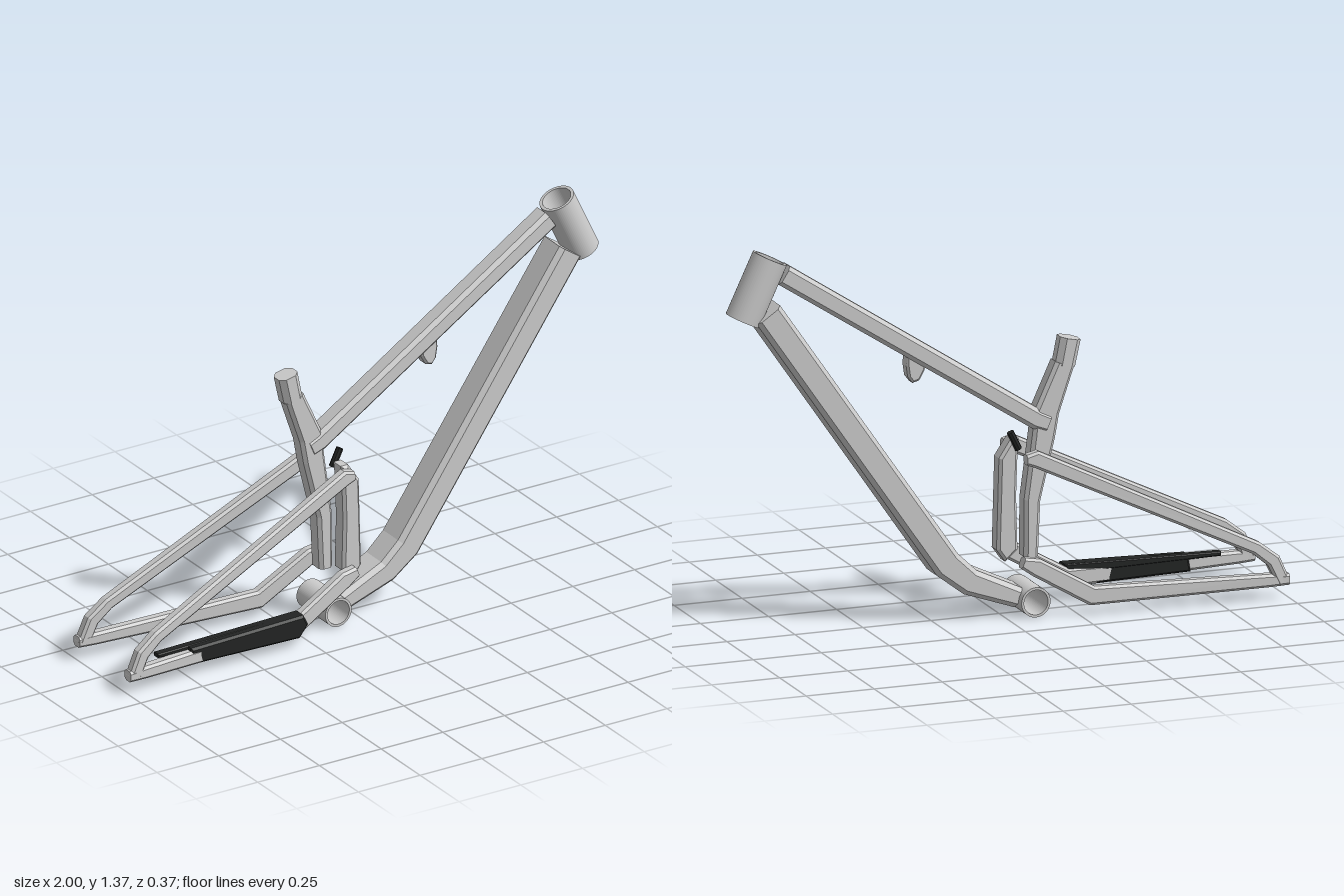
import * as THREE from 'three';

const grey = new THREE.MeshStandardMaterial({ color: 0xcccccc, flatShading: true });
const smooth = new THREE.MeshStandardMaterial({ color: 0xcccccc });
const dark = new THREE.MeshStandardMaterial({ color: 0x222423, flatShading: true });

// Chamfered rectangular tube swept along a mitred path; points are [x, y, halfHeight, halfWidth, z]
function beam(name, points, chamfer, material = grey) {
  const pos = [], idx = [];
  const dir = (a, b) => new THREE.Vector2(b[0] - a[0], b[1] - a[1]).normalize();
  const last = points.length - 1;
  points.forEach((p, i) => {
    const before = dir(points[Math.max(i - 1, 0)], points[Math.max(i, 1)]);
    const after = dir(points[Math.min(i, last - 1)], points[Math.min(i + 1, last)]);
    const t = before.clone().add(after).normalize();
    const miter = 1 / t.dot(after);
    const [x, y, h, w, z = 0] = p;
    const c = chamfer;
    const ring = [[h, w - c], [h - c, w], [c - h, w], [-h, w - c], [-h, c - w], [c - h, -w], [h - c, -w], [h, c - w]];
    for (const [n, s] of ring) pos.push(x - t.y * n * miter, y + t.x * n * miter, z + s);
  });
  for (let i = 0; i < last; i++) {
    for (let j = 0; j < 8; j++) {
      const a = i * 8 + j, b = i * 8 + (j + 1) % 8;
      idx.push(a, b, a + 8, b, b + 8, a + 8);
    }
  }
  for (let j = 1; j < 7; j++) {
    idx.push(0, j + 1, j);
    idx.push(last * 8, last * 8 + j, last * 8 + j + 1);
  }
  // Wind all faces outward
  const g = new THREE.BufferGeometry();
  g.setAttribute('position', new THREE.Float32BufferAttribute(pos, 3));
  const volume = () => {
    let v = 0;
    const P = k => new THREE.Vector3(...pos.slice(k * 3, k * 3 + 3));
    for (let k = 0; k < idx.length; k += 3) v += P(idx[k]).dot(P(idx[k + 1]).cross(P(idx[k + 2])));
    return v;
  };
  if (volume() < 0) idx.reverse();
  g.setIndex(idx);
  const flat = g.toNonIndexed();
  flat.computeVertexNormals();
  const mesh = new THREE.Mesh(flat, material);
  mesh.name = name;
  return mesh;
}

// Hollow round tube along y, extruded from a ring
function pipe(name, outer, inner, length) {
  const ring = new THREE.Shape().absarc(0, 0, outer, 0, Math.PI * 2, false);
  ring.holes.push(new THREE.Path().absarc(0, 0, inner, 0, Math.PI * 2, true));
  const g = new THREE.ExtrudeGeometry(ring, { depth: length, bevelEnabled: false, curveSegments: 32 });
  g.translate(0, 0, -length / 2);
  const mesh = new THREE.Mesh(g, smooth);
  mesh.name = name;
  return mesh;
}

// Bevelled plate with its outline in the xy plane, between two z values
function plate(name, outline, z0, z1, bevel, material = grey) {
  const g = new THREE.ExtrudeGeometry(new THREE.Shape(outline.map(p => new THREE.Vector2(...p))), {
    depth: z1 - z0 - 2 * bevel, bevelEnabled: true, bevelThickness: bevel, bevelSize: bevel,
    bevelOffset: -bevel, bevelSegments: 1,
  });
  g.translate(0, 0, z0 + bevel);
  const mesh = new THREE.Mesh(g, material);
  mesh.name = name;
  return mesh;
}

export function createModel() {
  const model = new THREE.Group();
  model.name = 'bicycleFrame';

  // Head tube, leaning back
  const head = pipe('headTube', 0.063, 0.052, 0.235);
  head.position.set(0.892, 1.243, 0);
  head.quaternion.setFromUnitVectors(new THREE.Vector3(0, 0, 1), new THREE.Vector3(-0.1, 0.212, 0).normalize());
  model.add(head);

  // Bottom bracket shell
  const shell = pipe('bottomBracket', 0.053, 0.044, 0.186);
  shell.position.set(-0.1, 0.055, 0);
  model.add(shell);

  // Main tubes
  model.add(beam('topTube', [[-0.17, 0.668, 0.033, 0.04], [-0.13, 0.685, 0.035, 0.04], [0.8, 1.29, 0.037, 0.04]], 0.014));
  model.add(beam('downTube', [
    [-0.052, 0.066, 0.036, 0.064], [0.125, 0.138, 0.046, 0.064],
    [0.208, 0.208, 0.052, 0.064], [0.866, 1.162, 0.052, 0.064]], 0.016));
  model.add(beam('seatTube', [
    [-0.108, 0.2, 0.026, 0.034], [-0.113, 0.4, 0.03, 0.034], [-0.155, 0.62, 0.042, 0.034],
    [-0.168, 0.71, 0.045, 0.034], [-0.232, 0.87, 0.036, 0.034]], 0.012));
  model.add(beam('seatCollar', [[-0.236, 0.865, 0.037, 0.036], [-0.256, 0.96, 0.038, 0.036]], 0.019));

  // Rounded tab under the top tube
  model.add(plate('cableTab', [
    [0.275, 0.935], [0.28, 0.9], [0.3, 0.865], [0.325, 0.858], [0.342, 0.88], [0.348, 0.92], [0.345, 0.985]],
  -0.025, 0.025, 0.008));

  // Linkage on one side of the seat tube, with its dark bolt
  model.add(plate('suspensionLink', [
    [-0.09, 0.605], [-0.06, 0.605], [-0.017, 0.54], [-0.008, 0.215], [-0.04, 0.17],
    [-0.085, 0.21], [-0.08, 0.4], [-0.085, 0.55]], 0.035, 0.1, 0.01));
  const bolt = new THREE.Mesh(new THREE.CylinderGeometry(0.013, 0.013, 0.07, 8), dark);
  bolt.name = 'linkBolt';
  bolt.position.set(-0.064, 0.605, 0.02);
  bolt.rotation.z = -0.45;
  model.add(bolt);

  // Mirrored rear stays, spreading toward the dropouts
  for (const side of [1, -1]) {
    const stay = list => list.map(([x, y, h]) => [x, y, h, 0.021, side * (0.11 - (x + 0.05) * 0.057)]);
    const rear = new THREE.Group();
    rear.name = side > 0 ? 'frontSideStays' : 'backSideStays';
    rear.add(beam('seatStay', stay([
      [-0.055, 0.572, 0.018], [-0.09, 0.572, 0.029], [-0.88, 0.19, 0.023], [-0.942, 0.14, 0.025],
      [-0.977, 0.062, 0.024]]), 0.009));
    rear.add(beam('chainStay', stay([
      [-0.998, 0.07, 0.02], [-0.93, 0.07, 0.023], [-0.29, 0.071, 0.033], [-0.09, 0.188, 0.032],
      [-0.042, 0.207, 0.02]]), 0.009));
    model.add(rear);
  }

  // Dark guard around one chainstay: outer cover and longer inner strip
  model.add(plate('chainstayGuard', [
    [-0.75, 0.046], [-0.3, 0.036], [-0.266, 0.08], [-0.285, 0.119], [-0.74, 0.107]], 0.112, 0.168, 0.008, dark));
  model.add(plate('guardStrip', [
    [-0.86, 0.092], [-0.3, 0.085], [-0.285, 0.118], [-0.86, 0.107]], 0.11, 0.142, 0.004, dark));

  return model;
}
